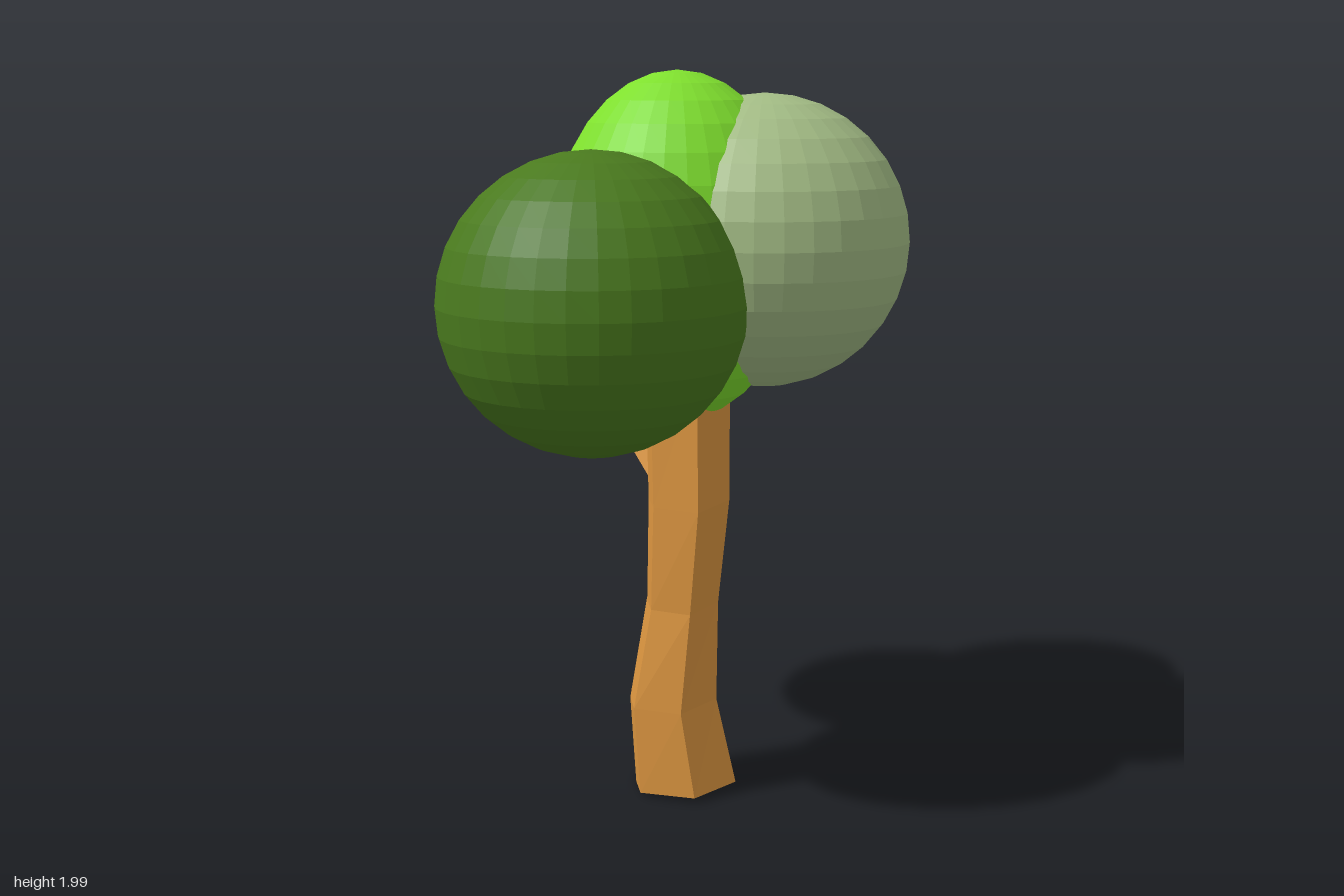
import * as THREE from 'three';

const mat = (color) => new THREE.MeshStandardMaterial({ color, flatShading: true, roughness: 1 });

// Faceted solid skinned over a stack of rings (each ring counter-clockwise seen from above)
function skin(rings) {
  const n = rings[0].length, pos = [];
  const tri = (a, b, c) => pos.push(...a, ...b, ...c);
  for (let r = 0; r < rings.length - 1; r++) {
    for (let i = 0; i < n; i++) {
      const j = (i + 1) % n, lo = rings[r], hi = rings[r + 1];
      tri(lo[i], lo[j], hi[j]);
      tri(lo[i], hi[j], hi[i]);
    }
  }
  const bottom = rings[0], top = rings[rings.length - 1];
  for (let i = 1; i < n - 1; i++) {
    tri(bottom[0], bottom[i + 1], bottom[i]);
    tri(top[0], top[i], top[i + 1]);
  }
  const geo = new THREE.BufferGeometry();
  geo.setAttribute('position', new THREE.Float32BufferAttribute(pos, 3));
  geo.computeVertexNormals();
  return geo;
}

export function createModel() {
  const tree = new THREE.Group();
  tree.name = 'tree';
  const bark = mat(0xdb9540);
  const dark = mat(0x4a7a1e), bright = mat(0x7fe02e), pale = mat(0xa3bc85);

  const add = (name, geo, material) => {
    const mesh = new THREE.Mesh(geo, material);
    mesh.name = name;
    tree.add(mesh);
    return mesh;
  };

  // Crooked six-sided trunk: one outline (x, z), shifted and scaled at each level
  const outline = [[0.17, 0.115], [0.02, -0.005], [-0.1, 0], [-0.11, 0.08], [-0.105, 0.185], [0.04, 0.25]];
  const levels = [ // y, centre x, centre z, scale x, scale z
    [0.015, 0.03, 0.122, 1, 1],
    [0.26, -0.005, 0.11, 0.86, 0.94],
    [0.54, 0.022, 0.102, 0.7, 0.96],
    [0.83, 0.04, 0.098, 0.79, 1.19],
    [1.22, 0.036, 0.096, 0.82, 1.21],
  ];
  const rings = levels.map(([y, cx, cz, sx, sz], k) =>
    outline.map(([x, z]) => [
      cx + (x - 0.03) * sx,
      // slightly uneven foot
      k === 0 ? y + (z - 0.12) * 0.06 * (x > 0.1 ? -2 : 1) : y,
      cz + (z - 0.122) * sz,
    ]));
  add('trunk', skin(rings), bark);

  // Side branch reaching into the rear foliage
  const from = new THREE.Vector3(0, 0.9, 0), to = new THREE.Vector3(-0.2, 1.2, -0.28);
  const dir = to.clone().sub(from);
  const branch = add('branch', new THREE.CylinderGeometry(0.06, 0.075, dir.length(), 5), bark);
  branch.position.copy(from).add(to).multiplyScalar(0.5);
  branch.quaternion.setFromUnitVectors(new THREE.Vector3(0, 1, 0), dir.normalize());

  // Foliage: overlapping faceted ellipsoids
  const ball = new THREE.SphereGeometry(1, 32, 16);
  const foliage = [ // name, centre, radii, material
    ['frontFoliage', [-0.235, 1.405, 0.33], [0.403, 0.395, 0.4], dark],
    ['sideFoliage', [0.242, 1.545, 0.075], [0.393, 0.395, 0.395], pale],
    ['backFoliage', [0.158, 1.515, -0.385], [0.35, 0.355, 0.35], dark],
    ['crownFoliage', [0.005, 1.53, 0.085], [0.338, 0.47, 0.338], bright],
    ['rearSideFoliage', [-0.29, 1.415, -0.28], [0.32, 0.31, 0.42], bright],
  ];
  for (const [name, centre, radii, material] of foliage) {
    const mesh = add(name, ball, material);
    mesh.position.set(...centre);
    mesh.scale.set(...radii);
  }
  return tree;
}
